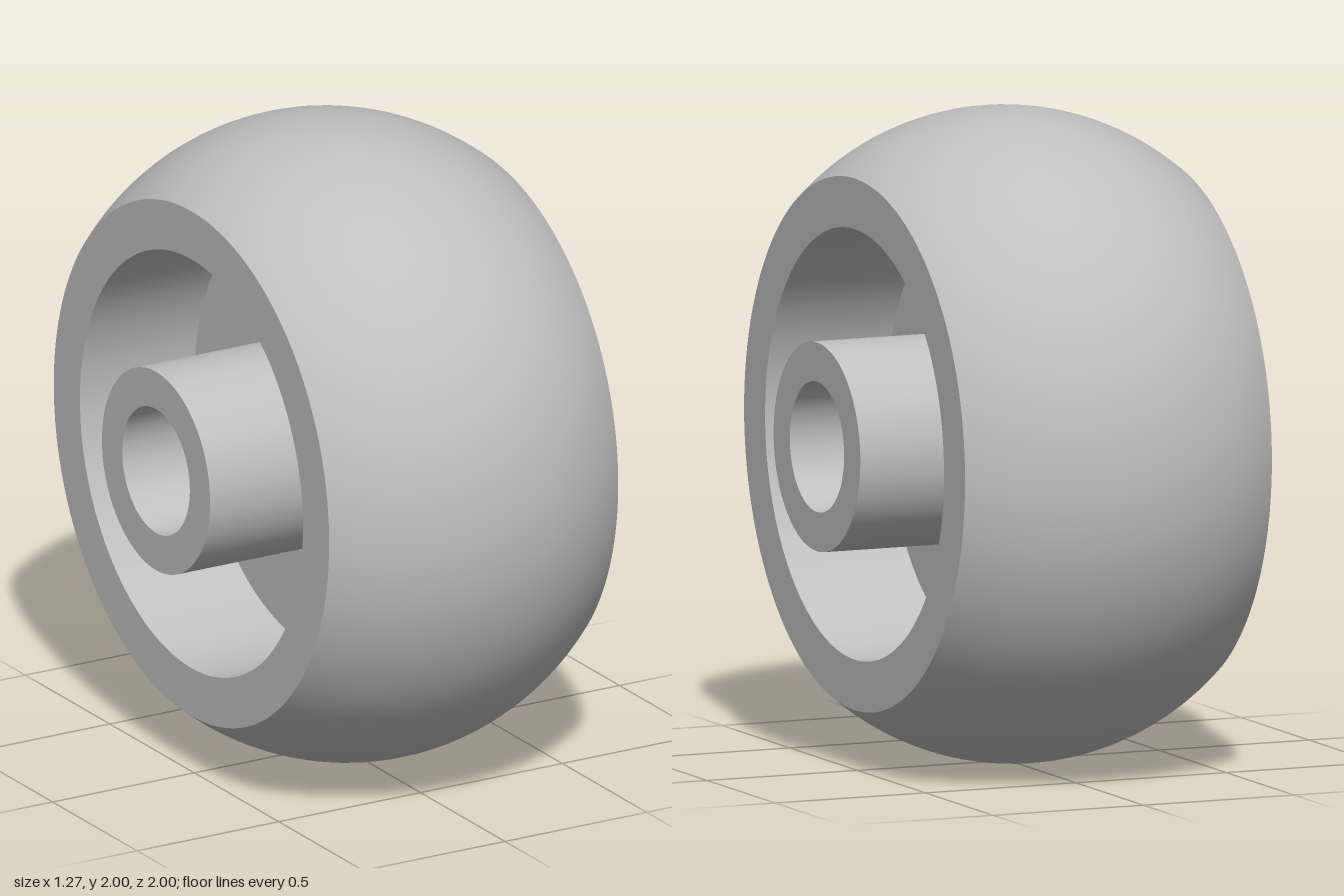
import * as THREE from 'three';
import { mergeGeometries } from 'three/addons/utils/BufferGeometryUtils.js';

const SEGMENTS = 128;

// Radii and half widths (along the axle) of the wheel
const R_CROWN = 1, R_RIM = 0.815, R_RECESS = 0.66, R_HUB = 0.32, R_BORE = 0.2;
const W_RIM = 0.51, W_WEB = 0.105, W_HUB = 0.635;

// Revolves each [radius, axial] run separately, so edges between runs stay sharp
function revolve(name, material, runs) {
  const lathes = runs.map((run) =>
    new THREE.LatheGeometry(run.map(([r, a]) => new THREE.Vector2(r, a)), SEGMENTS));
  const geometry = mergeGeometries(lathes);
  geometry.rotateZ(-Math.PI / 2);
  const mesh = new THREE.Mesh(geometry, material);
  mesh.name = name;
  return mesh;
}

// A run on the +axial side together with its mirror, both facing outward
function bothSides(run) {
  return [run, run.map(([r, a]) => [r, -a]).reverse()];
}

// Circular arc across the crowned tread
function crownArc(steps = 32) {
  const rise = R_CROWN - R_RIM;
  const radius = (W_RIM * W_RIM + rise * rise) / (2 * rise);
  const half = Math.asin(W_RIM / radius);
  return Array.from({ length: steps + 1 }, (_, i) => {
    const t = -half + (2 * half * i) / steps;
    return [R_CROWN - radius + radius * Math.cos(t), radius * Math.sin(t)];
  });
}

export function createModel() {
  const grey = new THREE.MeshStandardMaterial({ color: 0xc0c0c0 });
  grey.name = 'plain grey';

  const wheel = new THREE.Group();
  wheel.name = 'wheel';

  // Crowned tyre with flat side rings and the walls of the side recesses
  wheel.add(revolve('tyre', grey, [
    crownArc(),
    ...bothSides([[R_RIM, W_RIM], [R_RECESS, W_RIM]]),
    ...bothSides([[R_RECESS, W_RIM], [R_RECESS, W_WEB]]),
  ]));

  // Thin disc joining tyre and hub
  wheel.add(revolve('web', grey, bothSides([[R_RECESS, W_WEB], [R_HUB, W_WEB]])));

  // Protruding hub with a through bore
  wheel.add(revolve('hub', grey, [
    ...bothSides([[R_HUB, W_WEB], [R_HUB, W_HUB]]),
    ...bothSides([[R_HUB, W_HUB], [R_BORE, W_HUB]]),
    [[R_BORE, W_HUB], [R_BORE, -W_HUB]],
  ]));

  wheel.position.y = R_CROWN;
  const model = new THREE.Group();
  model.add(wheel);
  return model;
}
